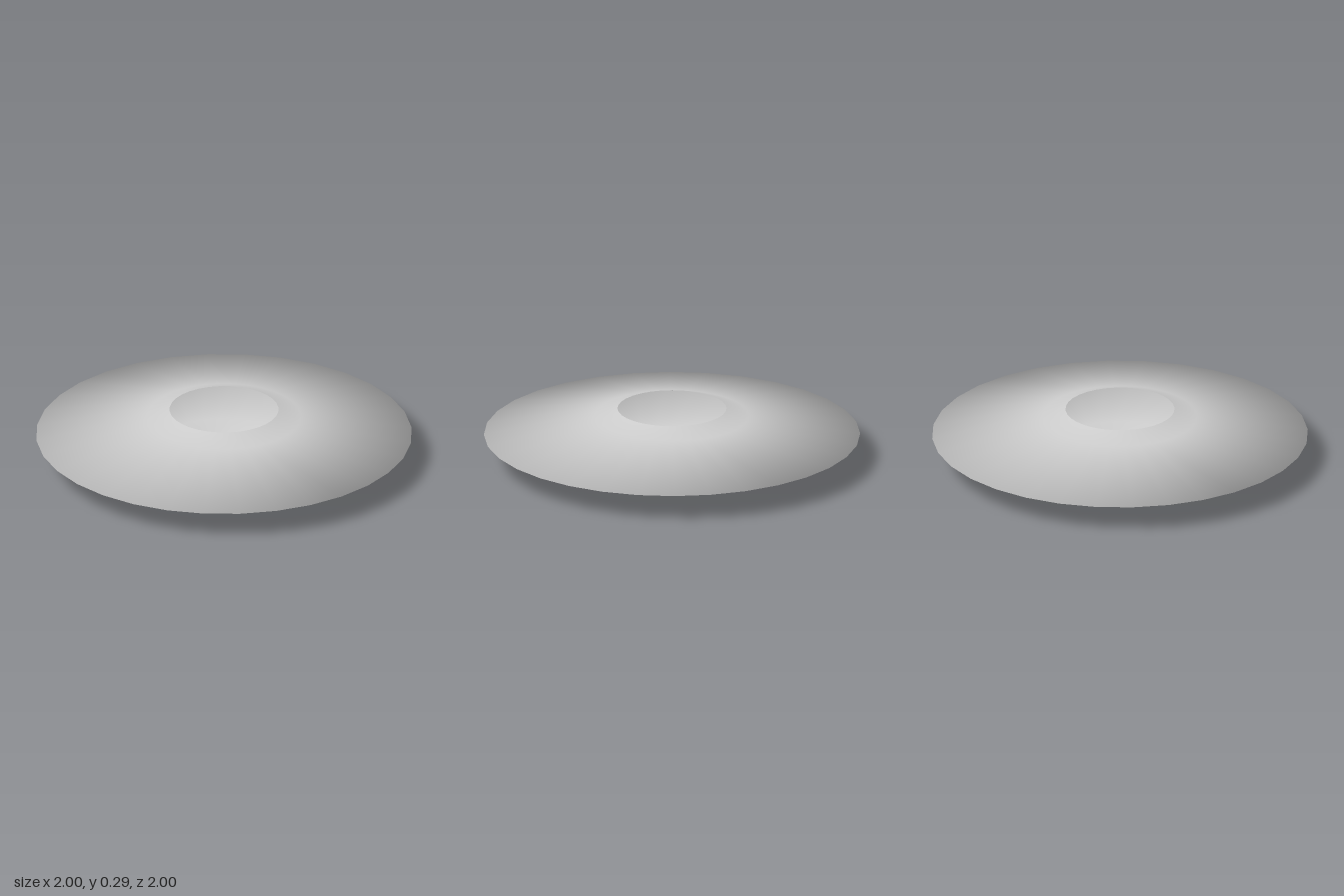
import * as THREE from 'three';

const SEGMENTS = 32;
const MID = 0.145; // height of the sharp outer rim

export function createModel() {
  const group = new THREE.Group();
  group.name = 'ringDisc';

  // Upper half of the profile: radius and height above the rim
  const upper = [[0.41, 0.103], [0.29, 0.145]];
  const profile = [
    ...[...upper].reverse().map(([r, h]) => new THREE.Vector2(r, MID - h)),
    new THREE.Vector2(1, MID),
    ...upper.map(([r, h]) => new THREE.Vector2(r, MID + h)),
  ];

  // Hollow saucer shell, open at the centre hole, smooth over the rim
  const shell = new THREE.Mesh(
    new THREE.LatheGeometry(profile, SEGMENTS),
    new THREE.MeshStandardMaterial({ color: 0xcccccc, side: THREE.DoubleSide })
  );
  shell.name = 'discShell';
  group.add(shell);

  return group;
}
